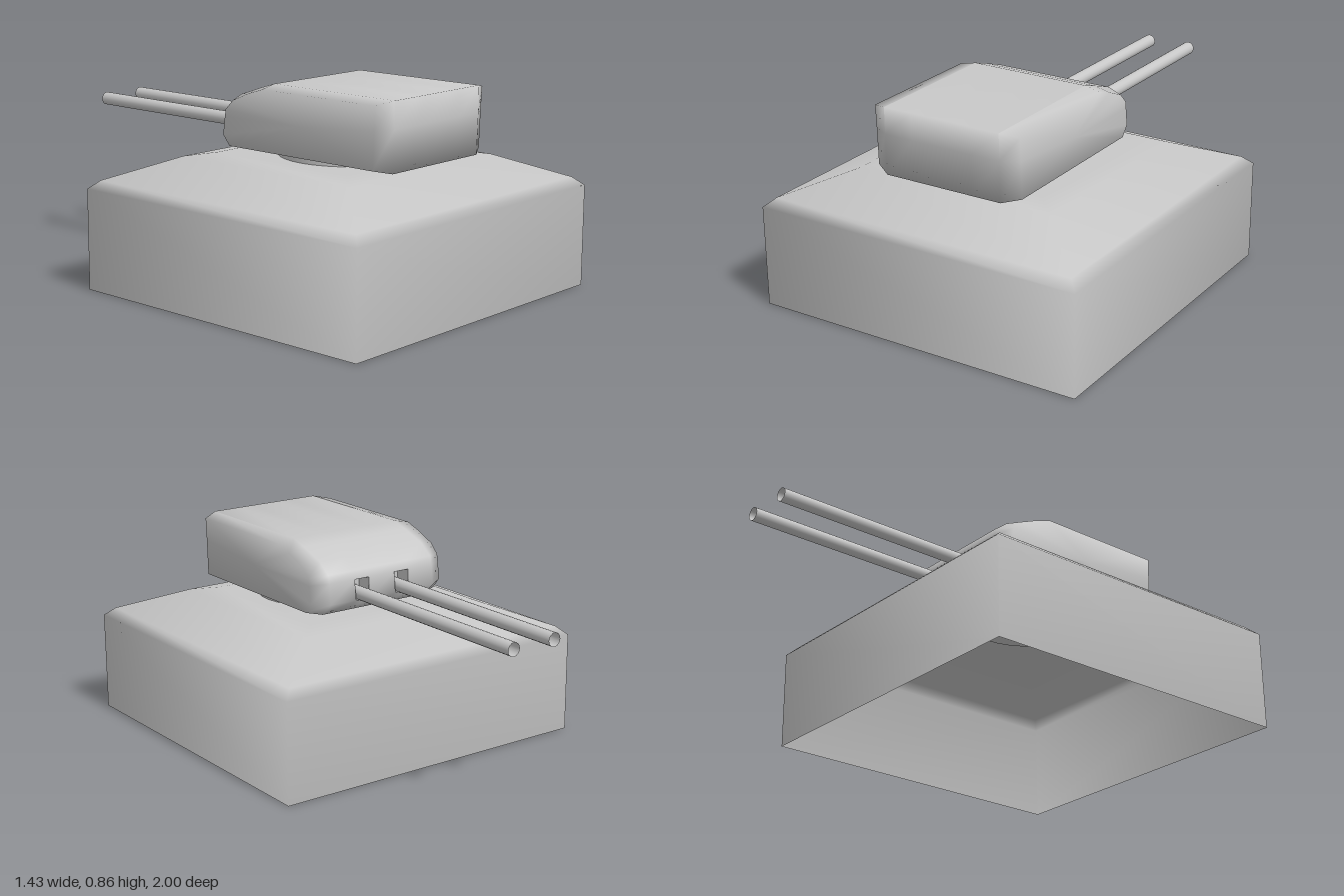
import * as THREE from 'three';

const grey = new THREE.MeshStandardMaterial({ color: 0xc8c8c8, side: THREE.DoubleSide });
grey.name = 'grey armour';

function add(parent, name, geometry, x = 0, y = 0, z = 0) {
  const mesh = new THREE.Mesh(geometry, grey);
  mesh.name = name;
  mesh.position.set(x, y, z);
  parent.add(mesh);
  return mesh;
}

// Turret outlines as [z, y]: the middle one, and the inset one on both flanks
const MIDDLE = [[0.785, 0.582], [0.79, 0.75], [0.79, 0.86], [0.18, 0.86], [0.11, 0.838],
  [0, 0.8], [-0.06, 0.755], [-0.068, 0.72], [-0.078, 0.635], [-0.02, 0.582]];
const FLANK = [[0.745, 0.598], [0.75, 0.75], [0.755, 0.845], [0.18, 0.845], [0.11, 0.823],
  [0.02, 0.785], [-0.02, 0.745], [-0.025, 0.715], [-0.035, 0.64], [0, 0.598]];
const SLOT = { inner: 0.065, outer: 0.135, segment: 7 };

function turretGeometry() {
  const n = MIDDLE.length;
  // Rings 1 and 8 repeat the middle outline so the roof seams stay sharp
  const xs = [-0.33, -0.26, -0.26, -SLOT.outer, -SLOT.inner, SLOT.inner, SLOT.outer, 0.26, 0.26, 0.33];
  const last = xs.length - 1;
  const positions = [], index = [];
  xs.forEach((x, r) => {
    const outline = r === 0 || r === last ? FLANK : MIDDLE;
    outline.forEach(([z, y]) => positions.push(x, y, z));
  });
  const id = (r, i) => {
    i %= n;
    const sharp = i === 2 || i === 3;
    if (r === 1 && !sharp) r = 2;
    if (r === last - 1 && !sharp) r = last - 2;
    return r * n + i;
  };
  for (let r = 0; r < last; r++) {
    if (r === 1 || r === last - 2) continue;
    for (let i = 0; i < n; i++) {
      if (i === SLOT.segment && (r === 3 || r === 5)) continue; // gun slots
      const a = id(r, i), b = id(r + 1, i), c = id(r + 1, i + 1), d = id(r, i + 1);
      index.push(a, b, c, a, c, d);
    }
  }
  // Flank walls
  for (const [r, x] of [[0, -0.33], [last, 0.33]]) {
    const centre = positions.length / 3;
    positions.push(x, 0.72, 0.38);
    for (let i = 0; i < n; i++) {
      if (r === 0) index.push(centre, id(r, i), id(r, i + 1));
      else index.push(centre, id(r, i + 1), id(r, i));
    }
  }
  const geometry = new THREE.BufferGeometry();
  geometry.setAttribute('position', new THREE.Float32BufferAttribute(positions, 3));
  geometry.setIndex(index);
  geometry.computeVertexNormals();
  return geometry;
}

export function createModel() {
  const model = new THREE.Group();
  model.name = 'gunTurret';

  // Square hollow base with sloped shoulders, open underneath
  const profile = [[0.714, 0], [0.714, 0.42], [0.675, 0.455], [0.44, 0.552], [0.34, 0.568], [0, 0.568]]
    .map(([half, y]) => new THREE.Vector2(half * Math.SQRT2, y));
  add(model, 'base', new THREE.LatheGeometry(profile, 4, Math.PI / 4), 0, 0, 0.286);

  // Turning ring between base and turret
  add(model, 'turningRing', new THREE.CylinderGeometry(0.285, 0.285, 0.03, 32), 0, 0.573, 0.345);

  add(model, 'turretBody', turretGeometry());

  // Twin guns, each in a recessed slot
  for (const side of [-1, 1]) {
    const gun = new THREE.Group();
    gun.name = side > 0 ? 'leftGun' : 'rightGun';
    gun.position.x = side * 0.1;
    model.add(gun);

    const barrel = new THREE.CylinderGeometry(0.028, 0.028, 1, 16, 1, true).rotateX(Math.PI / 2);
    add(gun, 'barrel', barrel, 0, 0.655, -0.5);

    const recess = new THREE.BoxGeometry(SLOT.outer - SLOT.inner, 0.085, 0.07);
    recess.setIndex([...recess.index.array].slice(0, 30)); // leave the gun side open
    recess.clearGroups();
    add(gun, 'gunSlot', recess, 0, 0.6775, -0.035);
  }
  return model;
}
